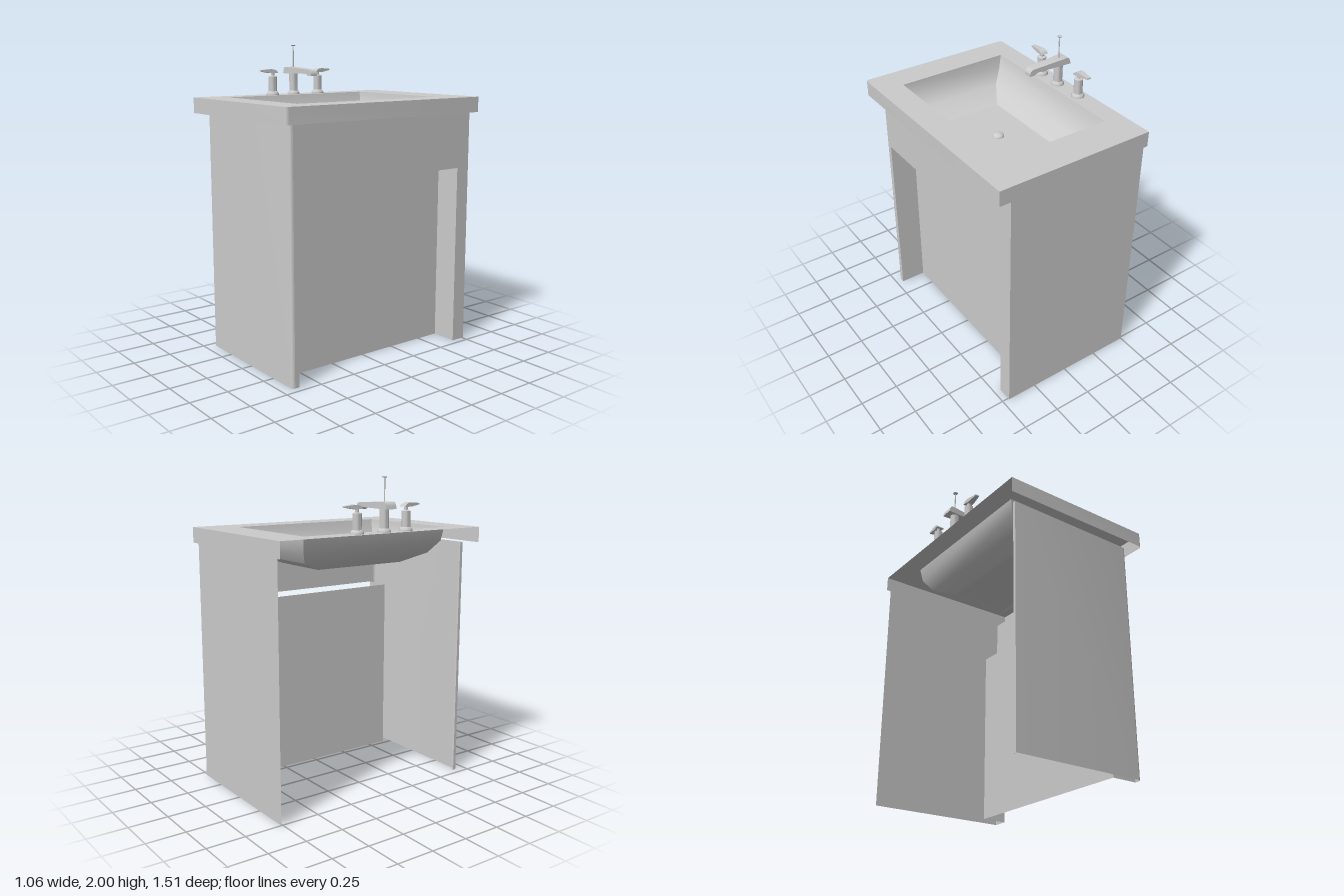
import * as THREE from 'three';
import { toCreasedNormals } from 'three/addons/utils/BufferGeometryUtils.js';

export function createModel() {
  const group = new THREE.Group();
  const grey = new THREE.MeshStandardMaterial({ color: 0xcccccc, side: THREE.DoubleSide });
  const add = (name, geo, parent = group) => {
    const mesh = new THREE.Mesh(geo, grey);
    mesh.name = name;
    parent.add(mesh);
    return mesh;
  };

  // Skin joining equal-length rows of [x, y, z] points
  const skin = (rows, closed = false) => {
    const pos = [];
    for (let r = 0; r + 1 < rows.length; r++) {
      const lo = rows[r], hi = rows[r + 1], n = lo.length;
      for (let i = 0; i < (closed ? n : n - 1); i++) {
        const j = (i + 1) % n;
        pos.push(...lo[i], ...lo[j], ...hi[i], ...lo[j], ...hi[j], ...hi[i]);
      }
    }
    const geo = new THREE.BufferGeometry();
    geo.setAttribute('position', new THREE.Float32BufferAttribute(pos, 3));
    geo.computeVertexNormals();
    return toCreasedNormals(geo, 0.6);
  };
  // Upright sheet standing on a plan path of [x, z] points
  const sheet = (path, y0, y1) => skin([y0, y1].map(y => path.map(([x, z]) => [x, y, z])));
  // Rounded plan corner, turning from the front to the +x side
  const corner = (x, z, r) => Array.from({ length: 6 }, (_, i) => {
    const a = (i / 5) * Math.PI / 2;
    return [x - r + r * Math.sin(a), z - r + r * Math.cos(a)];
  });
  const shapeOf = pts => new THREE.Shape(pts.map(p => new THREE.Vector2(...p)));

  // Cabinet walls; the -x side stays open
  add('frontWall', sheet([[-0.445, 0.655], [-0.455, 0.66], [-0.455, 0.68], ...corner(0.455, 0.68, 0.02)], 0, 1.57));
  add('backWall', sheet([[0.455, -0.76], [-0.5, -0.76]], 0, 1.57));
  const face = new THREE.ShapeGeometry(shapeOf([
    [-0.66, 0], [-0.63, 0], [-0.63, 1.2], [0.66, 1.2], [0.66, 0], [0.76, 0], [0.76, 1.57], [-0.66, 1.57],
  ]));
  face.rotateY(Math.PI / 2).translate(0.455, 0, 0);
  add('sideFrame', face);
  add('recessPanel', sheet([[0.455, 0.63], [0.28, 0.63], [0.28, -0.66], [0.455, -0.66]], 0, 1.2));

  // Countertop with basin cutout and a skirt on three sides
  const rim = [[-0.53, 0.75], ...corner(0.53, 0.755, 0.02), [0.53, -0.76], [-0.53, -0.76]];
  const basin = [
    [1.67, -0.40, 0.36, -0.52, 0.565],
    [1.58, -0.38, 0.34, -0.51, 0.555],
    [1.50, -0.315, 0.28, -0.46, 0.50],
    [1.44, -0.22, 0.18, -0.30, 0.35],
  ];
  const loops = basin.map(([y, x0, x1, z0, z1]) => [[x0, y, z1], [x1, y, z1], [x1, y, z0], [x0, y, z0]]);
  const top = shapeOf(rim.map(([x, z]) => [x, -z]));
  top.holes.push(new THREE.Path(loops[0].map(([x, , z]) => new THREE.Vector2(x, -z))));
  add('countertop', new THREE.ShapeGeometry(top).rotateX(-Math.PI / 2).translate(0, 1.67, 0));
  add('countertopSkirt', sheet(rim, 1.57, 1.67));

  // Basin
  add('basinWalls', skin(loops, true));
  const f = loops[3];
  add('basinFloor', skin([[f[0], f[1]], [f[3], f[2]]]));
  const drain = add('drainPlug', new THREE.SphereGeometry(0.038, 24, 10, 0, Math.PI * 2, 0, Math.PI / 2));
  drain.scale.y = 0.6;
  drain.position.set(0.003, 1.44, 0.015);

  // Turned post: base flange, column and optional neck
  const post = (r, height, neck) => new THREE.LatheGeometry([
    [0.042, 0], [0.042, 0.008], [0.034, 0.02], [r, 0.025], [r, height],
    ...(neck ? [[0.012, height + 0.006], [0.012, height + 0.035]] : [[0, height]]),
  ].map(p => new THREE.Vector2(...p)), 24);
  const lathe = (...a) => toCreasedNormals(post(...a), 0.6);

  // Side profile extruded across its width, narrowing along its length
  const taperedArm = (shape, x0, x1, w0, w1) => {
    const geo = new THREE.ExtrudeGeometry(shape, { depth: 1, bevelEnabled: false, curveSegments: 8 });
    geo.translate(0, 0, -0.5);
    const p = geo.attributes.position;
    for (let i = 0; i < p.count; i++) {
      const t = (p.getX(i) - x0) / (x1 - x0);
      p.setZ(i, p.getZ(i) * (w0 + (w1 - w0) * t));
    }
    return toCreasedNormals(geo, 0.6);
  };

  // Spout with lift rod
  const faucet = new THREE.Group();
  faucet.name = 'faucet';
  faucet.position.set(-0.462, 1.67, 0.017);
  group.add(faucet);
  add('spoutPost', lathe(0.029, 0.15, false), faucet);
  const spout = new THREE.Shape();
  spout.moveTo(-0.066, 0.14);
  spout.lineTo(0.17, 0.142);
  spout.quadraticCurveTo(0.198, 0.142, 0.205, 0.128);
  spout.lineTo(0.24, 0.128);
  spout.quadraticCurveTo(0.245, 0.166, 0.21, 0.17);
  spout.lineTo(-0.04, 0.184);
  spout.quadraticCurveTo(-0.06, 0.184, -0.066, 0.14);
  add('spoutArm', taperedArm(spout, -0.066, 0.242, 0.08, 0.052), faucet);
  add('liftRod', new THREE.CylinderGeometry(0.004, 0.004, 0.15, 10).translate(0, 0.253, 0), faucet);
  add('liftKnob', new THREE.CylinderGeometry(0.016, 0.012, 0.007, 16).translate(0, 0.3265, 0), faucet);

  // Pair of lever handles pointing away from the spout
  const lever = new THREE.Shape();
  lever.moveTo(-0.027, 0.147);
  lever.lineTo(0.03, 0.146);
  lever.lineTo(0.097, 0.158);
  lever.lineTo(0.097, 0.166);
  lever.lineTo(0.03, 0.172);
  lever.quadraticCurveTo(-0.02, 0.173, -0.027, 0.147);
  for (const [name, z, turn] of [['leftHandle', 0.187, -1], ['rightHandle', -0.187, 1]]) {
    const handle = new THREE.Group();
    handle.name = name;
    handle.position.set(-0.462, 1.67, z);
    handle.rotation.y = turn * Math.PI / 2;
    group.add(handle);
    add('handlePost', lathe(0.028, 0.122, true), handle);
    add('handleLever', taperedArm(lever, -0.027, 0.097, 0.052, 0.026), handle);
  }
  return group;
}
